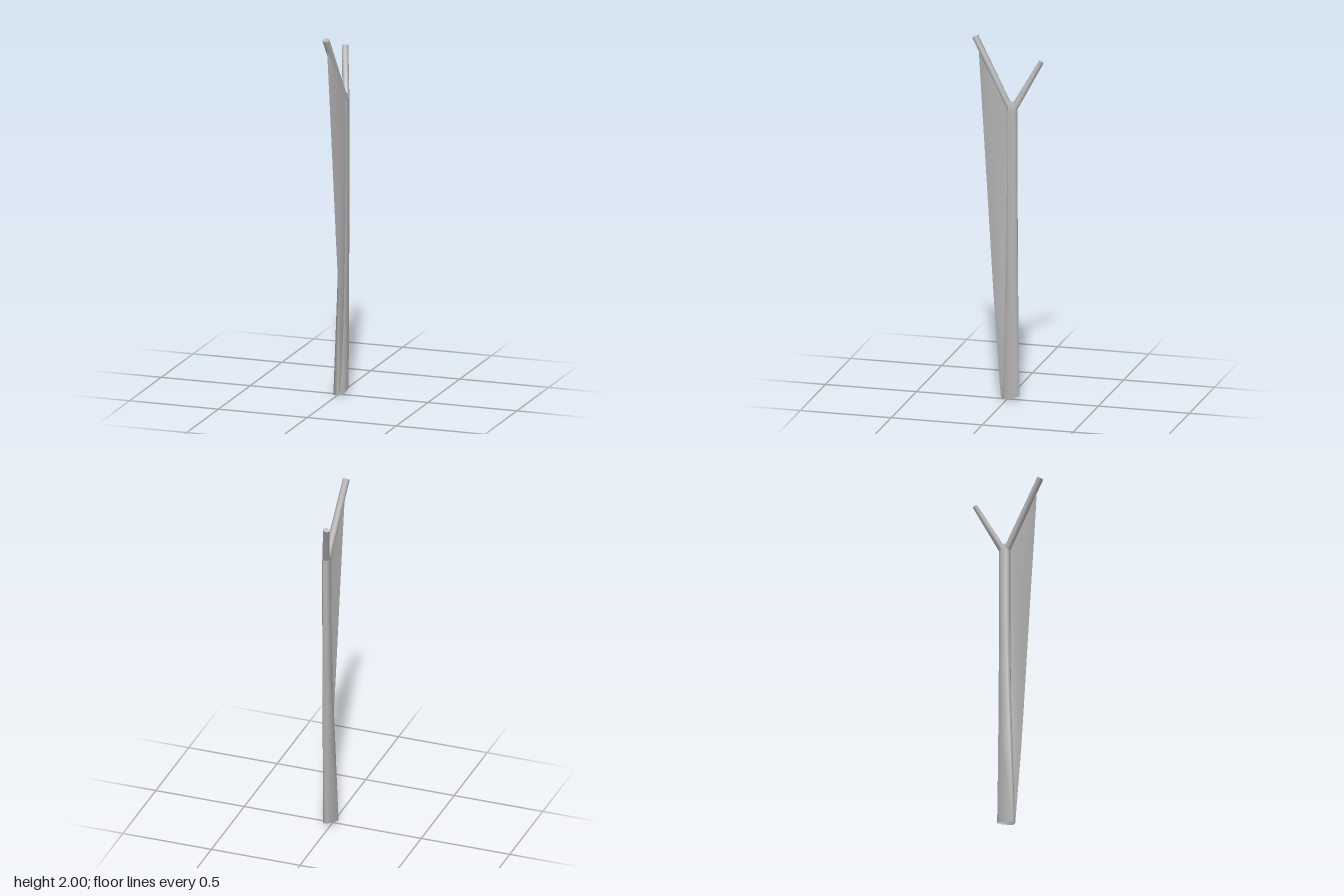
import * as THREE from 'three';

const bark = new THREE.MeshStandardMaterial({ color: 0xb4b4b4, side: THREE.DoubleSide });
bark.name = 'pale grey bark';

// Skin over rows of points; closed rows make a tube, open rows make a sheet
function loft(name, rows, closed) {
  const n = rows[0].length;
  const pos = rows.flat().flatMap((p) => [p.x, p.y, p.z]);
  const index = [];
  for (let i = 0; i < rows.length - 1; i++) {
    for (let j = 0; j < (closed ? n : n - 1); j++) {
      const k = (j + 1) % n;
      const a = i * n + j, b = i * n + k, c = a + n, d = b + n;
      index.push(a, c, b, b, c, d);
    }
  }
  const geo = new THREE.BufferGeometry();
  geo.setAttribute('position', new THREE.Float32BufferAttribute(pos, 3));
  geo.setIndex(index);
  geo.computeVertexNormals();
  const mesh = new THREE.Mesh(geo, bark);
  mesh.name = name;
  return mesh;
}

// Flat end over one ring of points
function cap(name, ring) {
  const geo = new THREE.BufferGeometry().setFromPoints(ring);
  const index = [];
  for (let i = 1; i < ring.length - 1; i++) index.push(0, i, i + 1);
  geo.setIndex(index);
  geo.computeVertexNormals();
  const mesh = new THREE.Mesh(geo, bark);
  mesh.name = name;
  return mesh;
}

// Straight tapering branch with a cut end
function branch(name, from, to, r0, r1, width) {
  const dir = to.clone().sub(from).normalize();
  const side = new THREE.Vector3(1, 0, 0).addScaledVector(dir, -dir.x).normalize();
  const up = new THREE.Vector3().crossVectors(side, dir);
  const ring = (c, r) => Array.from({ length: 8 }, (_, i) => {
    const a = ((i + 0.5) / 8) * Math.PI * 2;
    return c.clone().addScaledVector(side, -Math.cos(a) * width).addScaledVector(up, Math.sin(a) * r);
  });
  const end = ring(to, r1);
  const group = new THREE.Group();
  group.name = name;
  group.add(loft(name + 'Shaft', [ring(from, r0), end], true), cap(name + 'End', end));
  return group;
}

export function createModel() {
  const model = new THREE.Group();
  model.name = 'forkedBranch';
  const v = (x, y, z) => new THREE.Vector3(x, y, z);

  // Hollow trunk: an angular split foot turning into a round stem
  const foot = [[-0.022, 0.028], [0.004, 0.033], [0.028, 0.014], [0.034, -0.02],
    [0.034, -0.055], [0.022, -0.073], [0.008, -0.066], [-0.004, -0.03]];
  const stem = [[0.004, -0.015], [0.017, -0.003], [0.033, -0.003], [0.043, -0.015],
    [0.041, -0.05], [0.033, -0.062], [0.015, -0.06], [0.005, -0.045]];
  const rows = [0, 0.45, 0.9, 1.25, 1.61].map((y) => {
    const t = Math.min(1, y / 1.1);
    return foot.map(([x, z], i) => {
      const pz = z + (stem[i][1] - z) * t;
      const lift = y === 0 ? 0.25 * (0.033 - z) : 0;
      return v(x + (stem[i][0] - x) * t, y + lift, pz);
    });
  });
  rows.push(stem.map(([x, z]) => v(0.023 + (x - 0.023) * 0.5, 1.65, -0.031 + (z + 0.031) * 0.3)));
  model.add(loft('trunk', rows, true), cap('trunkTop', rows[rows.length - 1]));

  // The two arms of the fork
  model.add(branch('frontBranch', v(0.024, 1.615, -0.02), v(-0.01, 1.988, 0.179), 0.018, 0.017, 0.019));
  model.add(branch('backBranch', v(0.024, 1.615, -0.042), v(-0.03, 1.868, -0.178), 0.02, 0.014, 0.018));

  // Thin curved web from the front branch down to the foot
  const inner = new THREE.CatmullRomCurve3([
    v(0.022, 0.02, 0.01), v(0.03, 0.55, 0.0), v(0.035, 1.1, -0.01),
    v(0.036, 1.6, -0.012), v(0.022, 1.77, 0.068), v(0.002, 1.93, 0.152)]);
  const outer = new THREE.CatmullRomCurve3([
    v(0.008, 0.0, 0.033), v(0.022, 0.45, 0.062), v(0.014, 0.9, 0.092),
    v(0.004, 1.35, 0.122), v(-0.004, 1.7, 0.146), v(-0.01, 1.93, 0.161)]);
  const web = [];
  for (let i = 0; i <= 15; i++) {
    const a = inner.getPoint(i / 15), b = outer.getPoint(i / 15);
    web.push([0, 0.25, 0.5, 0.75, 1].map((s) => {
      const p = a.clone().lerp(b, s);
      p.x += 0.006 * Math.sin(Math.PI * s) * Math.sin((Math.PI * i) / 15);
      return p;
    }));
  }
  model.add(loft('web', web, false));
  return model;
}
